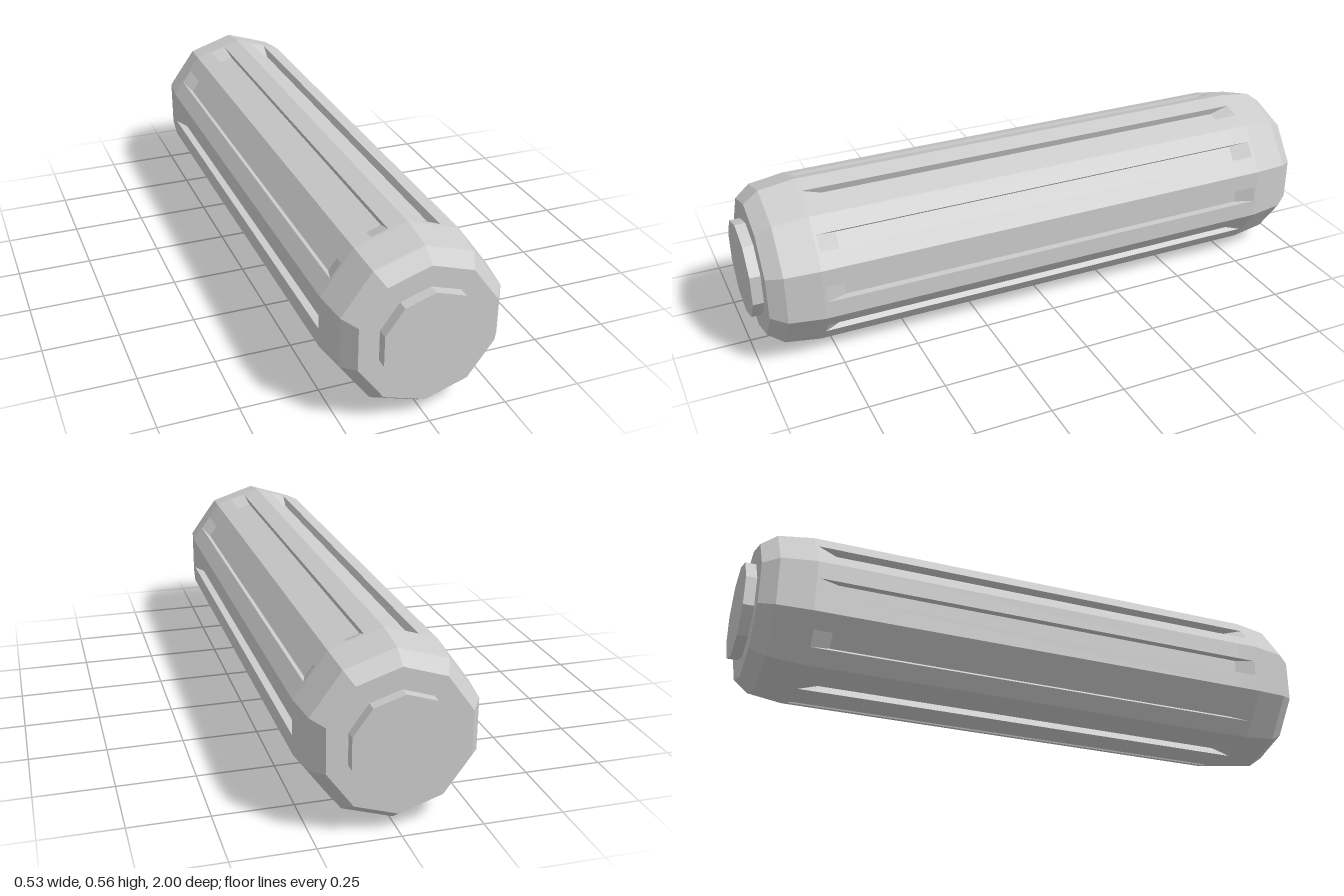
import * as THREE from 'three';

const SIDES = 10;
const RADIUS = 0.28;
const CENTRE_Y = 0.28;
const GROOVE_DEPTH = 0.025;

// Decagonal cross-section with a square groove in the middle third of each side
function section(z, depth) {
  const ring = [];
  const corner = (i) => {
    const a = Math.PI / 2 + (i * 2 * Math.PI) / SIDES;
    return new THREE.Vector3(RADIUS * Math.cos(a), RADIUS * Math.sin(a), z);
  };
  for (let i = 0; i < SIDES; i++) {
    const a = corner(i), b = corner(i + 1);
    const mid = Math.PI / 2 + ((i + 0.5) * 2 * Math.PI) / SIDES;
    const inward = new THREE.Vector3(-Math.cos(mid), -Math.sin(mid), 0).multiplyScalar(depth);
    const p = a.clone().lerp(b, 0.34), q = a.clone().lerp(b, 0.66);
    ring.push(a, p, p.clone().add(inward), q.clone().add(inward), q);
  }
  return ring;
}

// Skin consecutive sections, leaving out triangles that collapse to a line
function loft(rings) {
  const positions = [];
  const addTriangle = (a, b, c) => {
    if (new THREE.Triangle(a, b, c).getArea() < 1e-7) return;
    for (const v of [a, b, c]) positions.push(v.x, v.y, v.z);
  };
  for (let s = 0; s < rings.length - 1; s++) {
    const lower = rings[s], upper = rings[s + 1], n = lower.length;
    for (let i = 0; i < n; i++) {
      const j = (i + 1) % n;
      addTriangle(lower[i], lower[j], upper[j]);
      addTriangle(lower[i], upper[j], upper[i]);
    }
  }
  const geometry = new THREE.BufferGeometry();
  geometry.setAttribute('position', new THREE.Float32BufferAttribute(positions, 3));
  geometry.computeVertexNormals();
  return geometry;
}

export function createModel() {
  const model = new THREE.Group();
  model.name = 'groovedGrip';
  const material = new THREE.MeshStandardMaterial({ color: 0xcccccc, flatShading: true });

  // Grooved barrel, each groove ramping out to the surface at both ends
  const stations = [[-0.8, 0], [-0.79, 0], [-0.725, GROOVE_DEPTH], [0.725, GROOVE_DEPTH], [0.79, 0], [0.8, 0]];
  const barrel = new THREE.Mesh(loft(stations.map(([z, d]) => section(z, d))), material);
  barrel.name = 'groovedBarrel';
  barrel.position.y = CENTRE_Y;
  model.add(barrel);

  // Bevelled end collars, each with a raised boss
  const collarProfile = [[RADIUS, 0.8], [0.264, 0.915], [0.227, 0.965], [0, 0.965]];
  const collarGeometry = new THREE.LatheGeometry(collarProfile.map(([r, h]) => new THREE.Vector2(r, h)), SIDES);
  const bossGeometry = new THREE.CylinderGeometry(0.16, 0.16, 0.04, SIDES).translate(0, 0.98, 0);
  for (const [label, side] of [['front', 1], ['back', -1]]) {
    const end = new THREE.Group();
    end.name = label + 'End';
    const collar = new THREE.Mesh(collarGeometry, material);
    collar.name = label + 'Collar';
    const boss = new THREE.Mesh(bossGeometry, material);
    boss.name = label + 'Boss';
    end.add(collar, boss);
    end.rotation.x = (side * Math.PI) / 2;
    end.position.y = CENTRE_Y;
    model.add(end);
  }
  return model;
}
